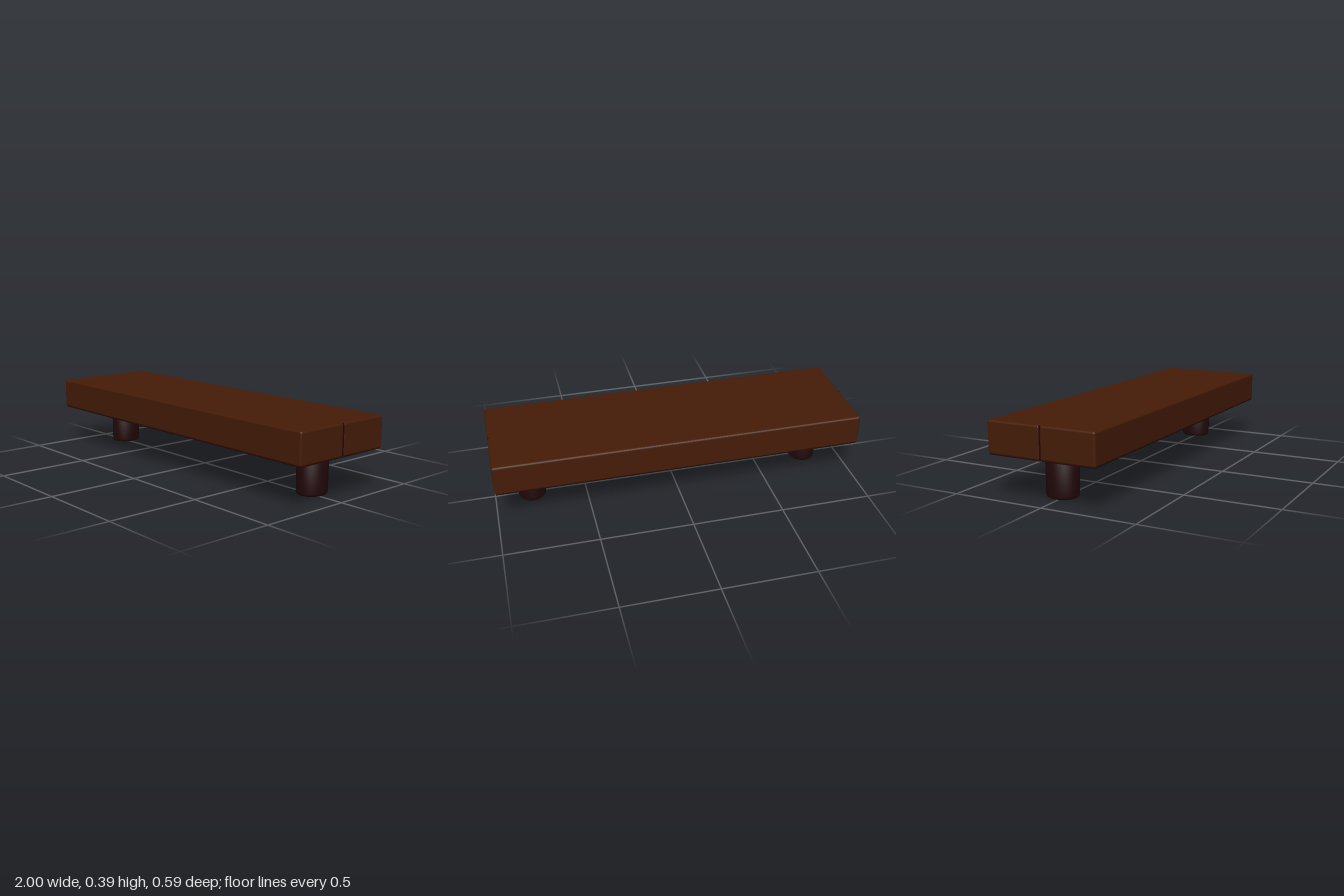
import * as THREE from 'three';
import { RoundedBoxGeometry } from 'three/addons/geometries/RoundedBoxGeometry.js';

export function createModel() {
  const group = new THREE.Group();
  const plankWood = new THREE.MeshStandardMaterial({ color: 0x451c06 });
  plankWood.name = 'brown wood';
  const darkWood = new THREE.MeshStandardMaterial({ color: 0x200708 });
  darkWood.name = 'dark wood';

  function add(name, geometry, material, x, y, z) {
    const mesh = new THREE.Mesh(geometry, material);
    mesh.name = name;
    mesh.position.set(x, y, z);
    group.add(mesh);
  }

  // Two long planks side by side, joined by a strip that closes the joint
  const plankGeometry = new RoundedBoxGeometry(2, 0.168, 0.296, 3, 0.012);
  add('frontPlank', plankGeometry, plankWood, 0, 0.308, 0.1485);
  add('backPlank', plankGeometry, plankWood, 0, 0.308, -0.1485);
  add('jointStrip', new THREE.BoxGeometry(1.984, 0.168, 0.024), plankWood, 0, 0.308, 0);

  // Dark underside board
  add('underside', new THREE.BoxGeometry(1.985, 0.005, 0.58), darkWood, 0, 0.224, 0);

  // Dark seams where the joint shows at the ends
  const seamGeometry = new THREE.BoxGeometry(0.008, 0.164, 0.005);
  add('leftSeam', seamGeometry, darkWood, 0.9955, 0.308, 0);
  add('rightSeam', seamGeometry, darkWood, -0.9955, 0.308, 0);

  // Slightly oval legs with softened bottom rims, sunk a little into the planks
  const profile = [[0, 0], [0.061, 0]];
  for (let i = 1; i <= 4; i++) {
    const a = (i / 4) * Math.PI / 2;
    profile.push([0.061 + 0.014 * Math.sin(a), 0.014 * (1 - Math.cos(a))]);
  }
  profile.push([0.077, 0.24], [0, 0.24]);
  const legGeometry = new THREE.LatheGeometry(profile.map(([r, y]) => new THREE.Vector2(r, y)), 40);
  legGeometry.scale(1, 1, 1.13);
  add('leftLeg', legGeometry, darkWood, 0.798, 0, -0.013);
  add('rightLeg', legGeometry, darkWood, -0.79, 0, -0.013);
  return group;
}
